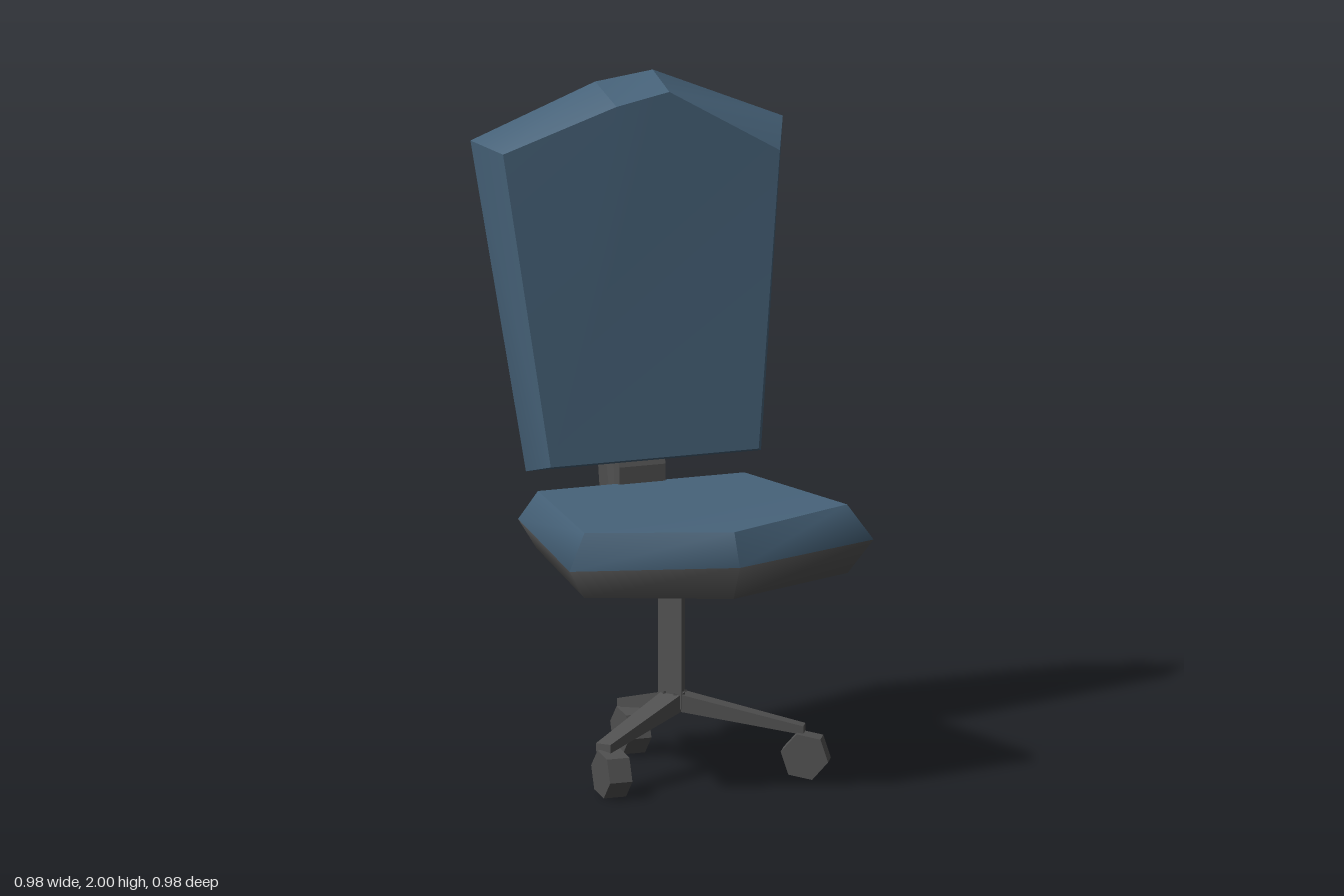
import * as THREE from 'three';

const blue = new THREE.MeshStandardMaterial({ color: 0x47637a, side: THREE.DoubleSide });
const grey = new THREE.MeshStandardMaterial({ color: 0x505050, side: THREE.DoubleSide });
const greyFlat = new THREE.MeshStandardMaterial({ color: 0x505050, flatShading: true });

// Joins rings of [x, y, z] points (counter-clockwise seen from the last ring) and caps both ends.
// Each side panel is smooth across the rings, with sharp corners between panels.
function loft(name, rings, lower, upper) {
  const pos = [], first = [], second = [];
  const n = rings[0].length, last = rings.length - 1;
  for (let i = 0; i < n; i++) {
    const base = pos.length / 3, j = (i + 1) % n;
    rings.forEach((r) => pos.push(...r[i], ...r[j]));
    for (let k = 0; k < last; k++) {
      const a = base + k * 2;
      (k === 0 ? first : second).push(a, a + 1, a + 3, a, a + 3, a + 2);
    }
  }
  const bottom = pos.length / 3;
  rings[0].forEach((p) => pos.push(...p));
  const top = pos.length / 3;
  rings[last].forEach((p) => pos.push(...p));
  for (let i = 1; i < n - 1; i++) {
    first.push(bottom, bottom + i + 1, bottom + i);
    second.push(top, top + i, top + i + 1);
  }
  const geo = new THREE.BufferGeometry();
  geo.setAttribute('position', new THREE.Float32BufferAttribute(pos, 3));
  geo.setIndex([...first, ...second]);
  geo.addGroup(0, first.length, 0);
  geo.addGroup(first.length, second.length, 1);
  geo.computeVertexNormals();
  const mesh = new THREE.Mesh(geo, [lower, upper]);
  mesh.name = name;
  return mesh;
}

function makeSeat() {
  return loft('seat', [
    [[-0.435, 0.63, 0.325], [-0.02, 0.615, 0.445], [0.395, 0.63, 0.31], [0.335, 0.64, -0.31], [-0.31, 0.64, -0.31]],
    [[-0.49, 0.715, 0.345], [-0.02, 0.715, 0.49], [0.45, 0.735, 0.37], [0.38, 0.73, -0.335], [-0.357, 0.725, -0.335]],
    [[-0.435, 0.82, 0.325], [-0.02, 0.812, 0.45], [0.395, 0.83, 0.305], [0.335, 0.81, -0.3], [-0.31, 0.81, -0.3]],
  ], grey, blue);
}

function makeBackrest() {
  const inner = [[-0.315, 0.9], [0.335, 0.9], [0.43, 1.755], [0.085, 1.955], [-0.08, 1.925], [-0.435, 1.815]];
  const outer = [[-0.355, 0.875], [0.38, 0.875], [0.487, 1.83], [0.08, 2], [-0.1, 1.98], [-0.49, 1.84]];
  // each ring leans back with height
  const ring = (pts, zLow, zHigh) => pts.map(([x, y]) =>
    [x, y, THREE.MathUtils.lerp(zLow, zHigh, Math.min(1, (y - 0.9) / 0.88))]);
  return loft('backrest', [
    ring(inner, -0.37, -0.465), ring(outer, -0.285, -0.372), ring(inner, -0.195, -0.263),
  ], grey, blue);
}

function makeSpine() {
  // side profile as [z, y]
  const profile = [[0.22, 0.615], [0.185, 0.575], [-0.3, 0.575], [-0.405, 0.64], [-0.493, 1.43],
    [-0.46, 1.93], [-0.42, 1.9], [-0.3, 0.9], [-0.285, 0.86], [-0.285, 0.66], [0.2, 0.64]];
  const shape = new THREE.Shape(profile.map(([z, y]) => new THREE.Vector2(-z, y)));
  const geo = new THREE.ExtrudeGeometry(shape, { depth: 0.145, bevelEnabled: false });
  geo.rotateY(Math.PI / 2).translate(-0.062, 0, 0);
  // slightly wider at the bend
  const p = geo.attributes.position;
  for (let i = 0; i < p.count; i++) {
    if (Math.abs(p.getY(i) - 1.43) < 0.01 && p.getX(i) < 0) p.setX(i, -0.08);
  }
  const mesh = new THREE.Mesh(geo, greyFlat);
  mesh.name = 'spine';
  return mesh;
}

function makeBase() {
  const base = new THREE.Group();
  base.name = 'base';
  const cx = 0.01, cz = -0.05;

  const stem = new THREE.Mesh(new THREE.CylinderGeometry(0.049, 0.049, 0.4, 3), greyFlat);
  stem.name = 'stem';
  stem.position.set(cx, 0.4, cz);
  base.add(stem);

  // leg tip x, z; caster x, z; caster turn
  const legs = [
    [-0.3, 0.15, -0.28, 0.165, 0],
    [0.335, 0.135, 0.333, 0.15, Math.PI / 3],
    [0.01, -0.412, 0.01, -0.368, 0],
  ];
  for (const [x, z, wx, wz, turn] of legs) {
    const d = new THREE.Vector2(x - cx, z - cz).normalize();
    const section = (px, pz, w, low, high) =>
      [[-w, low], [w, low], [w, high], [-w, high]].map(([s, y]) => [px + d.y * s, y, pz - d.x * s]);
    base.add(loft('leg', [
      section(cx, cz, 0.036, 0.195, 0.247), section(x, z, 0.025, 0.13, 0.155),
    ], greyFlat, greyFlat));

    const wheel = new THREE.CylinderGeometry(0.07, 0.07, 0.07, 6);
    wheel.rotateZ(Math.PI / 2).rotateX(0.2).rotateY(turn);
    const caster = new THREE.Mesh(wheel, greyFlat);
    caster.name = 'caster';
    caster.position.set(wx, 0.07, wz);
    base.add(caster);
  }
  return base;
}

export function createModel() {
  const chair = new THREE.Group();
  chair.name = 'officeChair';
  chair.add(makeSeat(), makeBackrest(), makeSpine(), makeBase());
  return chair;
}
